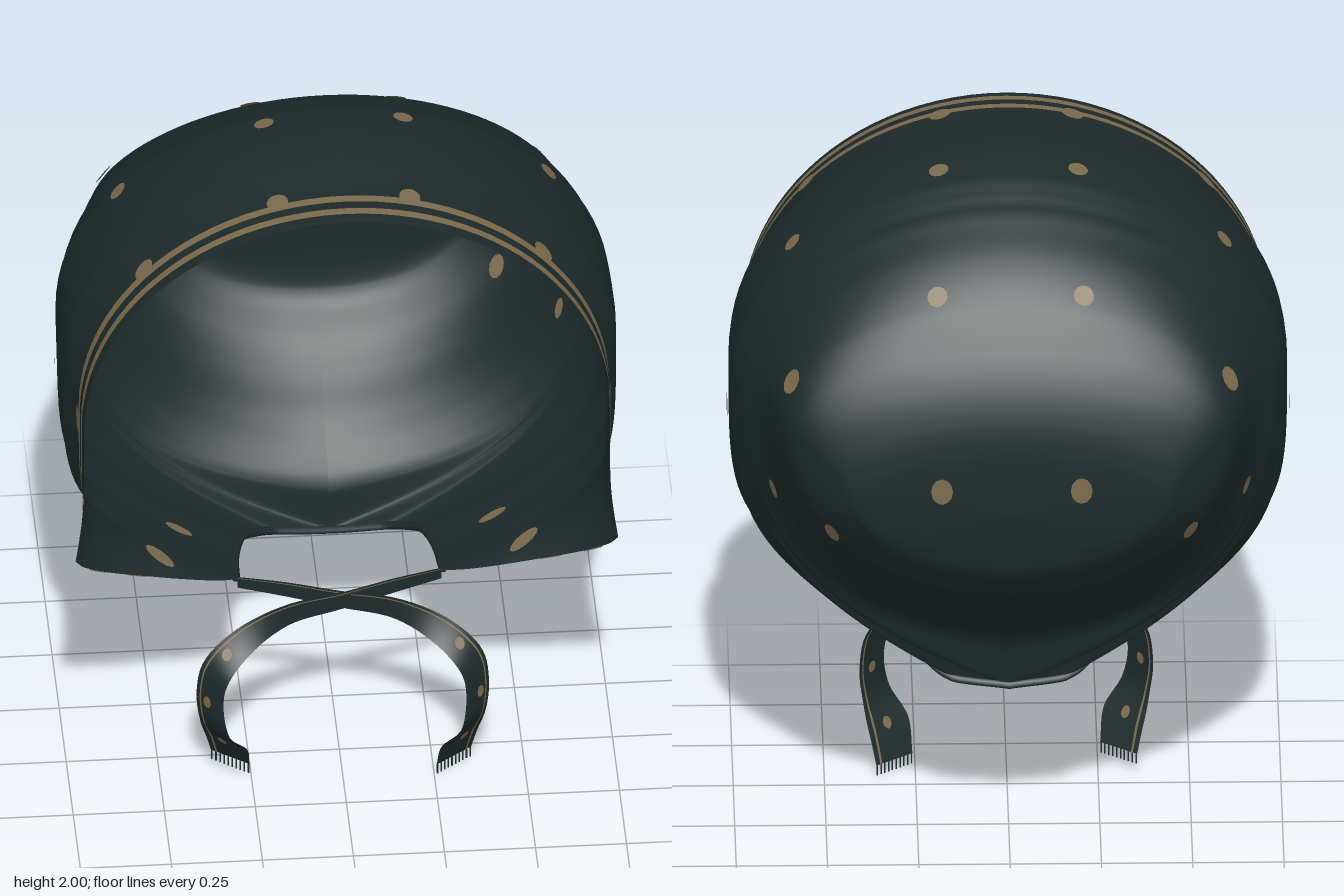
import * as THREE from 'three';

const mat = (name, color) => {
  const m = new THREE.MeshStandardMaterial({ color, side: THREE.DoubleSide });
  m.name = name;
  return m;
};

// Cross-sections: z, top, widest height, half width, hem half width, hem height, knee
const ROWS = [
  [-0.53, 1.2, 1.2, 0, 0, 1.2, 0],
  [-0.52, 1.38, 1.24, 0.42, 0, 1.07, 0],
  [-0.505, 1.47, 1.3, 0.47, 0, 1.01, 0],
  [-0.47, 1.57, 1.37, 0.545, 0, 0.96, 0],
  [-0.42, 1.66, 1.41, 0.605, 0, 0.895, 0],
  [-0.35, 1.76, 1.42, 0.638, 0, 0.83, 0],
  [-0.25, 1.85, 1.42, 0.67, 0, 0.75, 0.05],
  [-0.16, 1.905, 1.4, 0.705, 0, 0.655, 0.2],
  [-0.13, 1.922, 1.39, 0.72, 0, 0.6, 0.27],
  [-0.115, 1.929, 1.385, 0.727, 0, 0.48, 0.3],
  [-0.1, 1.935, 1.38, 0.733, 0.15, 0.495, 0.35],
  [-0.06, 1.955, 1.37, 0.745, 0.21, 0.52, 0.5],
  [0, 1.98, 1.36, 0.76, 0.25, 0.55, 0.75],
  [0.15, 2, 1.35, 0.765, 0.28, 0.575, 1],
  [0.25, 1.995, 1.35, 0.76, 0.285, 0.595, 1],
  [0.3, 1.99, 1.34, 0.75, 0.33, 0.625, 1],
  [0.4, 1.982, 1.32, 0.725, 0.52, 0.72, 1],
  [0.5, 1.977, 1.3, 0.722, 0.72, 0.835, 1],
  [0.52, 1.975, 1.3, 0.722, 0.745, 0.87, 1],
];

// Smooth interpolation of one column without overshoot
function column(z, c) {
  const last = ROWS.length - 1;
  let i = 0;
  while (i < last - 1 && z > ROWS[i + 1][0]) i++;
  const slope = (k) => (ROWS[k + 1][c] - ROWS[k][c]) / (ROWS[k + 1][0] - ROWS[k][0]);
  const tangent = (k) => {
    if (k === 0) return slope(0);
    if (k === last) return slope(last - 1);
    const a = slope(k - 1), b = slope(k);
    return a * b > 0 ? (2 * a * b) / (a + b) : 0;
  };
  const h = ROWS[i + 1][0] - ROWS[i][0], t = (z - ROWS[i][0]) / h;
  const t2 = t * t, t3 = t2 * t;
  return ROWS[i][c] * (2 * t3 - 3 * t2 + 1) + ROWS[i + 1][c] * (3 * t2 - 2 * t3)
    + h * (tangent(i) * (t3 - 2 * t2 + t) + tangent(i + 1) * (t3 - t2));
}

const bezier = (a, b, c, d, t) =>
  a * (1 - t) ** 3 + 3 * b * t * (1 - t) ** 2 + 3 * c * t * t * (1 - t) + d * t ** 3;

// Point of the cloth: s = 0 on the crown, s = -1 and 1 on the lower hem
function cloth(z, s) {
  const [top, mid, wide, hem, low, knee] = [1, 2, 3, 4, 5, 6].map((c) => column(z, c));
  const a = Math.abs(s);
  let x, y;
  if (a < 0.5) {
    x = wide * Math.sin(a * Math.PI);
    y = mid + (top - mid) * Math.cos(a * Math.PI);
  } else {
    // Straight cheek, a bend in towards the neck, then a short lip
    const t = 2 * a - 1, drop = mid - Math.max(low, 0.6);
    const fold = z > -0.2 && z < 0.3 ? 0.028 * Math.sin((z + 0.2) * Math.PI * 14) : 0;
    x = bezier(wide, wide, wide * (0.55 + 0.45 * knee), hem, t) + fold * t * t * (1 - t);
    y = bezier(mid, mid - 0.62 * drop, mid - (1 - 0.38 * knee) * drop, low, t);
  }
  return new THREE.Vector3(Math.sign(s) * x, y, z);
}

// Surface from a grid of points f(i, j)
function grid(rows, cols, f) {
  const pos = [], idx = [];
  for (let i = 0; i <= rows; i++) for (let j = 0; j <= cols; j++) {
    pos.push(...f(i, j).toArray());
    if (i < rows && j < cols) {
      const a = i * (cols + 1) + j, b = a + cols + 1;
      idx.push(a, b, a + 1, a + 1, b, b + 1);
    }
  }
  const g = new THREE.BufferGeometry();
  g.setAttribute('position', new THREE.Float32BufferAttribute(pos, 3));
  g.setIndex(idx);
  g.computeVertexNormals();
  return g;
}

export function createModel() {
  const root = new THREE.Group();
  root.name = 'headscarf';
  const fabric = mat('dark green fabric', 0x1d2a2a);
  const tan = mat('tan print', 0x7b6a4c);
  const add = (parent, name, geo, m) => {
    const mesh = new THREE.Mesh(geo, m);
    mesh.name = name;
    parent.add(mesh);
    return mesh;
  };

  // Hood, with the same number of steps between neighbouring cross-sections
  const steps = 8;
  add(root, 'hood', grid((ROWS.length - 1) * steps, 96, (i, j) => {
    const k = Math.min(Math.floor(i / steps), ROWS.length - 2);
    const z = THREE.MathUtils.lerp(ROWS[k][0], ROWS[k + 1][0], i / steps - k);
    return cloth(z, 1 - j / 48);
  }), fabric);

  // Stripes printed on the outside only
  for (const [name, z0, z1] of [['frontStripe', 0.488, 0.463], ['rearStripe', 0.434, 0.408]]) {
    add(root, name, grid(3, 96, (i, j) => {
      const p = cloth(THREE.MathUtils.lerp(z0, z1, i / 3), j / 48 - 1);
      return p.set(p.x * 1.005, 1.3 + (p.y - 1.3) * 1.005, p.z);
    }), tan);
  }

  // Rolled edge around the back of the neck
  const rim = [];
  for (let i = -24; i <= 24; i++) rim.push(cloth(-0.115 + 0.365 * (i / 24) ** 2, i < 0 ? -1 : 1));
  add(root, 'neckBinding', new THREE.TubeGeometry(new THREE.CatmullRomCurve3(rim), 80, 0.012, 6), fabric);

  // Printed dots; offsets along the normal put them on one or both faces of the cloth
  function dot(parent, p, normal, w, h, offsets) {
    for (const d of offsets) {
      const m = add(parent, 'dot', new THREE.CircleGeometry(1, 12), tan);
      m.scale.set(w, h, 1);
      m.position.copy(p).addScaledVector(normal, d);
      m.lookAt(m.position.clone().add(normal));
    }
  }
  const samples = [];
  for (let i = 0; i < 110; i++) for (let j = 1; j < 100; j++) {
    const z = -0.525 + i * 0.009, s = j / 100;
    samples.push({ z, s, p: cloth(z, s) });
  }
  const dots = new THREE.Group();
  dots.name = 'dots';
  root.add(dots);
  // x, y, z, half width, half height
  const spots = [
    [0.2, 1.98, 0.04, 0.028, 0.028], [0.59, 1.75, 0.03, 0.028, 0.028], [0.76, 1.26, 0.08, 0.027, 0.035],
    [0.45, 0.66, 0.12, 0.018, 0.045], [0.2, 1.78, -0.34, 0.028, 0.03], [0.6, 1.53, -0.36, 0.028, 0.036],
    [0.2, 1.3, -0.525, 0.03, 0.038], [0.47, 1.12, -0.42, 0.022, 0.035], [0.66, 1.12, -0.22, 0.014, 0.032],
    [0.185, 1.95, 0.398, 0.034, 0.03], [0.53, 1.74, 0.4, 0.03, 0.034], [0.71, 1.28, 0.41, 0.03, 0.04],
    [0.52, 0.72, 0.34, 0.025, 0.05],
  ];
  const flip = new THREE.Vector3(-1, 1, 1);
  for (const [x, y, z, w, h] of spots) {
    const target = new THREE.Vector3(x, y, z);
    const near = samples.reduce((a, b) => (b.p.distanceToSquared(target) < a.p.distanceToSquared(target) ? b : a));
    const dz = cloth(near.z + 0.003, near.s).sub(near.p);
    const normal = dz.cross(cloth(near.z, near.s + 0.003).sub(near.p)).normalize();
    if (normal.dot(new THREE.Vector3(x, y - 1.3, z)) < 0) normal.negate();
    const offsets = z > 0.39 ? [0.007] : [0.007, -0.007];
    dot(dots, near.p, normal, w, h, offsets);
    dot(dots, near.p.clone().multiply(flip), normal.clone().multiply(flip), w, h, offsets);
  }

  // Ties: centre line and half-width vectors; they cross in front of the neck
  const path = [
    [-0.28, 0.58, 0.25], [-0.15, 0.567, 0.275], [0, 0.543, 0.3], [0.15, 0.522, 0.325], [0.27, 0.47, 0.365],
    [0.35, 0.39, 0.4], [0.368, 0.3, 0.405], [0.356, 0.2, 0.415], [0.322, 0.12, 0.38], [0.307, 0.03, 0.345],
  ];
  const half = [
    [0, 0.018, 0], [0, 0.024, 0], [0, 0.028, 0], [0.008, 0.032, 0], [0.025, 0.025, -0.015],
    [0.033, 0.012, -0.033], [0.034, 0, -0.038], [0.037, 0, -0.047], [0.055, 0, -0.045], [0.05, 0, -0.038],
  ];
  const curve = (pts) => new THREE.CatmullRomCurve3(pts.map((p) => new THREE.Vector3(...p)));
  const centre = curve(path), width = curve(half);
  for (const side of [1, -1]) {
    const tie = new THREE.Group();
    tie.name = side > 0 ? 'leftTie' : 'rightTie';
    root.add(tie);
    const at = (u, v) => {
      const p = centre.getPoint(u).addScaledVector(width.getPoint(u), v);
      if (side < 0) {
        p.y += 0.03 * u * u;
        p.z += 0.015 * Math.sin(u * Math.PI);
      }
      p.x *= side;
      return p;
    };
    const strip = (name, v0, v1, m) =>
      add(tie, name, grid(50, 2, (i, j) => at(i / 50, v0 + (v1 - v0) * j / 2)), m);
    strip('ribbon', -1, 0.66, fabric);
    strip('ribbonStripe', 0.66, 0.77, tan);
    strip('ribbonEdge', 0.77, 1, fabric);
    for (const u of [0.5, 0.68, 0.88]) {
      const p = at(u, 0.1);
      const normal = at(u + 0.01, 0.1).sub(p).cross(at(u, 0.3).sub(p)).normalize();
      dot(tie, p, normal, 0.014, 0.018, [0.006, -0.006]);
    }
    // Fringe at the end
    for (let i = 0; i < 10; i++) {
      const thread = add(tie, 'fringe', new THREE.BoxGeometry(0.004, 0.03, 0.004), fabric);
      thread.position.copy(at(1, -0.95 + 1.9 * i / 9));
      thread.position.y -= 0.015;
    }
  }
  return root;
}
